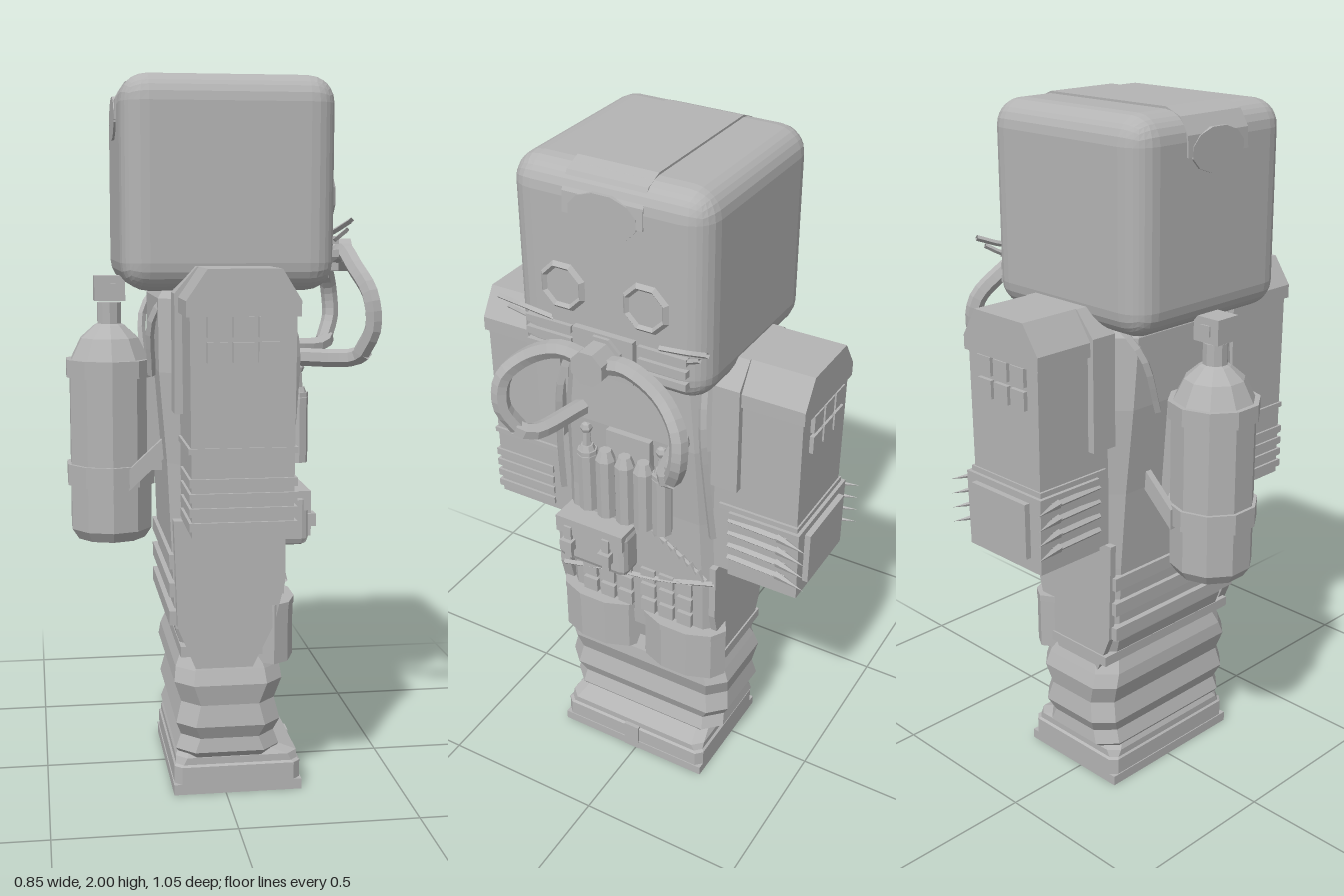
import * as THREE from 'three';
import { RoundedBoxGeometry } from 'three/addons/geometries/RoundedBoxGeometry.js';

const grey = new THREE.MeshStandardMaterial({ color: 0xb4b4b4, flatShading: true, side: THREE.DoubleSide });
grey.name = 'grey';
const ZC = 0.015; // middle of the body in z

export function createModel() {
  const model = new THREE.Group();
  const add = (name, geo, x = 0, y = 0, z = 0, parent = model) => {
    const m = new THREE.Mesh(geo, grey);
    m.name = name;
    m.position.set(x, y, z);
    parent.add(m);
    return m;
  };
  // box given by its limits
  const box = (name, x0, x1, y0, y1, z0, z1) =>
    add(name, new THREE.BoxGeometry(x1 - x0, y1 - y0, z1 - z0), (x0 + x1) / 2, (y0 + y1) / 2, (z0 + z1) / 2);
  // cylinder along x
  const disc = (name, r, x0, x1, y, z, n = 8) => {
    const g = new THREE.CylinderGeometry(r, r, x1 - x0, n);
    g.rotateY(Math.PI / n).rotateZ(Math.PI / 2);
    return add(name, g, (x0 + x1) / 2, y, z);
  };
  const tube = (name, pts, r, sides = 6, seg = 20) => add(name, new THREE.TubeGeometry(
    new THREE.CatmullRomCurve3(pts.map(p => new THREE.Vector3(...p))), seg, r, sides));
  // outline in x-y, extruded from z0 to z1
  const slab = (name, pts, z0, z1) => add(name, new THREE.ExtrudeGeometry(
    new THREE.Shape(pts.map(p => new THREE.Vector2(...p))), { depth: z1 - z0, bevelEnabled: false }), 0, 0, z0);
  // stacked rectangles with cut corners: [y, x0, x1, half depth, corner]
  const loft = (name, layers) => {
    const pos = [], idx = [], n = 8;
    layers.forEach(([y, a, b, h, c]) => {
      [[b, h - c], [b, c - h], [b - c, -h], [a + c, -h], [a, c - h], [a, h - c], [a + c, h], [b - c, h]]
        .forEach(([x, z]) => pos.push(x, y, z + ZC));
    });
    for (let j = 0; j < layers.length - 1; j++) for (let i = 0; i < n; i++) {
      const a = j * n + i, b = j * n + (i + 1) % n;
      idx.push(a, b, b + n, a, b + n, a + n);
    }
    const top = (layers.length - 1) * n;
    for (let i = 1; i < n - 1; i++) idx.push(0, i + 1, i, top, top + i, top + i + 1);
    const g = new THREE.BufferGeometry();
    g.setAttribute('position', new THREE.Float32BufferAttribute(pos, 3));
    g.setIndex(idx);
    g.computeVertexNormals();
    return add(name, g);
  };

  // boots and legs
  loft('boots', [[0, -0.145, 0.215, 0.25, 0.02], [0.08, -0.145, 0.215, 0.25, 0.02],
    [0.085, -0.14, 0.208, 0.243, 0.02], [0.105, -0.14, 0.208, 0.243, 0.03], [0.125, -0.13, 0.15, 0.23, 0.03]]);
  box('bootSole', -0.148, 0.218, 0, 0.03, -0.235, 0.265);
  box('bootDivider', 0.2, 0.22, 0, 0.09, -0.01, 0.04);
  loft('legs', [[0.1, -0.12, 0.14, 0.235, 0.04], [0.13, -0.14, 0.155, 0.27, 0.05], [0.17, -0.125, 0.14, 0.265, 0.05],
    [0.21, -0.14, 0.155, 0.285, 0.05], [0.27, -0.125, 0.14, 0.275, 0.05], [0.33, -0.145, 0.16, 0.285, 0.05],
    [0.37, -0.14, 0.155, 0.27, 0.05], [0.42, -0.12, 0.14, 0.25, 0.05]]);

  // torso
  loft('torso', [[0.38, -0.11, 0.13, 0.25, 0.04], [0.48, -0.14, 0.155, 0.26, 0.04], [0.72, -0.15, 0.165, 0.26, 0.04],
    [0.95, -0.16, 0.17, 0.25, 0.04], [1.2, -0.18, 0.185, 0.25, 0.05], [1.4, -0.18, 0.18, 0.24, 0.06],
    [1.45, -0.15, 0.16, 0.22, 0.06]]);
  // side hip panels
  const hip = [[-0.15, 0.8], [-0.14, 0.5], [-0.09, 0.38], [0.07, 0.38], [0.13, 0.5], [0.16, 0.62], [0.16, 0.8]];
  slab('leftHipPanel', hip, 0.26, 0.295);
  slab('rightHipPanel', hip, -0.245, -0.225);
  // rear waist bands and hip flaps
  for (const y of [0.5, 0.58, 0.66]) box('waistBand', -0.16, -0.12, y, y + 0.04, -0.235, 0.27);
  box('rearHipFlap', -0.13, 0.1, 0.41, 0.44, -0.25, 0.28);

  // padded front pouches on the belt
  for (const s of [-1, 1]) {
    const g = new THREE.CylinderGeometry(0.14, 0.14, 0.165, 10, 1);
    g.scale(0.52, 1, 1);
    add('hipPouch', g, 0.13, 0.467, ZC + s * 0.143);
    const lip = new THREE.CylinderGeometry(0.142, 0.142, 0.02, 10);
    lip.scale(0.54, 1, 1);
    add('hipPouchLip', lip, 0.13, 0.545, ZC + s * 0.142);
    // squares on the skirt
    for (let i = 0; i < 3; i++) for (let j = 0; j < 3; j++) {
      if (s > 0 && j === 2 && i > 1) continue;
      const z = ZC + s * (0.04 + i * 0.062);
      box('skirtSquare', 0.15, 0.175, 0.56 + j * 0.058, 0.605 + j * 0.058, z - 0.024, z + 0.024);
    }
  }
  // slanted skirt hem and stitched chest seam
  tube('skirtHem', [[0.16, 0.62, 0.28], [0.17, 0.67, 0.1], [0.17, 0.7, -0.07], [0.165, 0.75, -0.24]], 0.009, 4, 8);
  tube('chestSeam', [[0.175, 0.92, 0.03], [0.175, 0.86, -0.08], [0.17, 0.76, -0.22]], 0.006, 4, 6);
  for (let i = 0; i < 9; i++) {
    const st = box('stitch', 0.165, 0.182, -0.018, 0.018, -0.003, 0.003);
    st.position.y = 0.91 - i * 0.017;
    st.position.z = 0.01 - i * 0.027;
    st.rotation.x = 0.5;
  }

  // belly pouch with two buckles
  add('bellyPouch', new RoundedBoxGeometry(0.09, 0.15, 0.235, 1, 0.02), 0.19, 0.785, 0.133);
  box('pouchFlap', 0.15, 0.24, 0.81, 0.865, 0.02, 0.248);
  for (const z of [0.075, 0.205]) {
    box('pouchStrap', 0.2, 0.247, 0.73, 0.84, z - 0.012, z + 0.012);
    box('pouchBuckle', 0.23, 0.26, 0.76, 0.795, z - 0.02, z + 0.02);
  }

  // chest canisters
  box('canisterPlate', 0.17, 0.205, 0.96, 1.2, -0.055, 0.085);
  for (const z of [0.138, 0.078, 0.015, -0.045, -0.105]) {
    const tall = Math.abs(z - 0.016) > 0.1;
    add('canister', new THREE.CylinderGeometry(0.029, 0.029, tall ? 0.2 : 0.19, 8), 0.222, tall ? 1.03 : 1.02, z);
    add('canisterCap', new THREE.CylinderGeometry(0.018, 0.03, 0.03, 8), 0.222, 1.13, z);
    if (tall) {
      add('canisterNeck', new THREE.CylinderGeometry(0.01, 0.014, 0.06, 6), 0.222, 1.17, z);
      add('canisterValve', new THREE.SphereGeometry(0.018, 6, 4), 0.222, 1.2, z);
    }
  }

  // arms
  const armShape = [[-0.125, 0.8], [0.14, 0.8], [0.145, 1.38], [0.135, 1.43], [0.1, 1.475], [-0.08, 1.475], [-0.12, 1.43], [-0.13, 1.38]];
  const capShape = [[-0.14, 1.37], [0.155, 1.37], [0.155, 1.41], [0.105, 1.49], [-0.085, 1.49], [-0.14, 1.41]];
  const strapShape = [[-0.15, 1.1], [0.165, 1.1], [0.165, 1.42], [0.11, 1.49], [-0.09, 1.49], [-0.15, 1.42]];
  for (const s of [-1, 1]) {
    const zz = (a, b) => (s > 0 ? [ZC + a, ZC + b] : [ZC - b, ZC - a]);
    slab('arm', armShape, ...zz(0.23, 0.495));
    slab('shoulderCap', capShape, ...zz(0.25, 0.503));
    slab('shoulderStrap', strapShape, ...zz(0.24, 0.32));
    // panel of squares on the outer face
    for (let i = 0; i < 3; i++) for (let j = 0; j < 2; j++) {
      const x = -0.06 + i * 0.066, y = 1.28 + j * 0.064;
      box('armSquare', x - 0.027, x + 0.027, y - 0.026, y + 0.026, ...zz(0.48, 0.507));
    }
    box('armBand', -0.134, 0.15, 1.02, 1.035, ...zz(0.26, 0.5));
    if (s > 0) for (let i = 0; i < 4; i++) {
      const y = 0.82 + i * 0.038;
      box('cuffBand', -0.133, 0.148, y, y + 0.022, ...zz(0.3, 0.503));
    }
  }
  // spiked gauntlet
  slab('gauntlet', [[-0.14, 0.8], [0.155, 0.8], [0.16, 1.02], [-0.145, 1.02]], -0.495, -0.28);
  slab('gauntletPlate', [[-0.1, 0.84], [0.12, 0.84], [0.12, 1], [-0.1, 1]], -0.512, -0.49);
  for (let i = 0; i < 4; i++) for (const s of [-1, 1]) {
    const y = 0.865 + i * 0.043, x = 0.0075;
    tube('spikeRail', [[x + s * 0.148, y, -0.28], [x + s * 0.156, y, -0.46]], 0.01, 4, 1);
    const spike = add('spike', new THREE.ConeGeometry(0.013, 0.1, 5).rotateX(-Math.PI / 2), x + s * 0.167, y, -0.482);
    spike.rotation.y = -s * 0.28;
  }

  // back tank with neck and valve
  const tankPts = [[0, 0.7], [0.1, 0.7], [0.12, 0.73], [0.12, 0.86], [0.13, 0.86], [0.13, 0.92], [0.12, 0.92],
    [0.12, 1.17], [0.13, 1.17], [0.13, 1.22], [0.115, 1.22], [0.085, 1.28], [0.045, 1.315], [0.035, 1.32], [0.035, 1.38], [0, 1.38]];
  const tankGeo = new THREE.LatheGeometry(tankPts.map(p => new THREE.Vector2(...p)), 10);
  add('tank', tankGeo, -0.302, 0, 0.005);
  box('tankValve', -0.345, -0.258, 1.385, 1.455, -0.035, 0.045);
  box('valveCore', -0.318, -0.285, 1.405, 1.435, -0.04, 0.05);
  box('tankMount', -0.24, -0.15, 0.9, 1.2, -0.05, 0.06);
  for (const s of [-1, 1]) {
    slab('tankStrap', [[-0.26, 0.85], [-0.13, 0.97], [-0.13, 1.03], [-0.26, 0.91]], s * 0.11 - 0.01, s * 0.11 + 0.01);
    tube('shoulderHarness', [[-0.19, 1.18, s * 0.1], [-0.19, 1.35, s * 0.16], [-0.1, 1.46, s * 0.2]], 0.012, 4, 8);
    tube('chestHarness', [[0.13, 1.44, ZC + s * 0.2], [0.19, 1.3, ZC + s * 0.225], [0.185, 1.1, ZC + s * 0.24], [0.165, 0.92, ZC + s * 0.25]], 0.012, 4, 10);
  }

  // head with a raised crest ending in rounded tips
  add('head', new RoundedBoxGeometry(0.58, 0.572, 0.572, 3, 0.075), 0.006, 1.708, ZC);
  slab('headCrest', [[-0.29, 1.88], [-0.287, 1.935], [-0.26, 1.98], [-0.21, 2], [0.22, 2], [0.27, 1.98], [0.297, 1.935],
    [0.301, 1.88], [0.28, 1.88], [0.2, 1.95], [-0.2, 1.95], [-0.27, 1.88]], ZC - 0.115, ZC + 0.115);
  for (const [x0, x1] of [[-0.29, -0.275], [0.28, 0.301]]) {
    const tip = disc('crestTip', 0.1, x0, x1, 1.89, ZC, 12);
    tip.scale.y = 0.6;
  }

  // face: eyes, whiskers and mouth plate
  for (const s of [-1, 1]) {
    const z = ZC + s * 0.122;
    const rim = new THREE.TorusGeometry(0.06, 0.011, 4, 8).rotateZ(Math.PI / 8).rotateY(Math.PI / 2);
    add('eyeRim', rim, 0.3, 1.675, z);
    disc('eyeLens', 0.055, 0.28, 0.302, 1.675, z);
    tube('whisker', [[0.3, 1.575, ZC + s * 0.16], [0.302, 1.585, ZC + s * 0.24], [0.325, 1.61, ZC + s * 0.31]], 0.008, 4, 8);
    tube('whisker', [[0.295, 1.55, ZC + s * 0.16], [0.295, 1.555, ZC + s * 0.23], [0.32, 1.585, ZC + s * 0.285]], 0.007, 4, 8);
    for (let i = 0; i < 3; i++) {
      const y = 1.475 + i * 0.036;
      box('mouthBar', 0.26, 0.308, y, y + 0.02, ZC + s * 0.17 - 0.07, ZC + s * 0.17 + 0.07);
    }
    // breathing hoses
    tube('breathingHose', [[0.345, 1.51, ZC + s * 0.03], [0.355, 1.525, ZC + s * 0.1], [0.365, 1.48, ZC + s * 0.2],
      [0.392, 1.41, ZC + s * 0.265], [0.4, 1.32, ZC + s * 0.27], [0.375, 1.25, ZC + s * 0.24]], 0.025, 6, 18);
    tube('hoseEnd', [[0.385, 1.255, ZC + s * 0.245], [0.36, 1.235, ZC + s * 0.21], [0.18, 1.235, ZC + s * 0.16]], 0.025, 6, 8);
  }
  box('mouthPlate', 0.27, 0.315, 1.45, 1.575, ZC - 0.09, ZC + 0.09);
  disc('mouthFilter', 0.05, 0.3, 0.393, 1.512, ZC);
  disc('filterCollar', 0.062, 0.3, 0.325, 1.512, ZC);
  return model;
}
